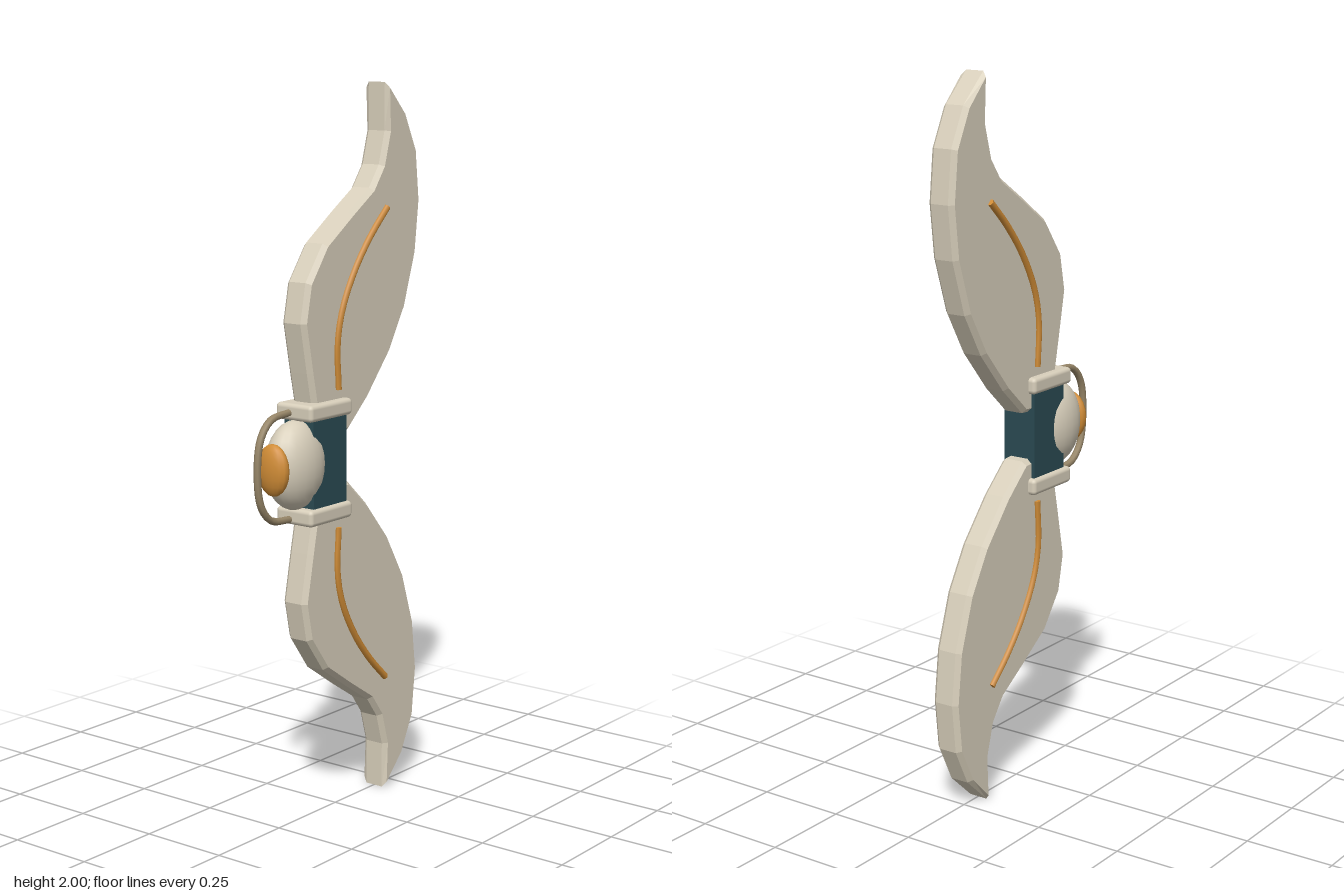
import * as THREE from 'three';
import { RoundedBoxGeometry } from 'three/addons/geometries/RoundedBoxGeometry.js';

const mat = (name, color) => new THREE.MeshStandardMaterial({ name, color });

export function createModel() {
  const cream = mat('cream', 0xd8cfbb);
  const amber = mat('amber', 0xd08c36);
  const teal = mat('dark teal', 0x2a4a52);
  const bronze = mat('dull bronze', 0x988769);

  const model = new THREE.Group();
  model.name = 'wingedEye';
  const add = (parent, name, geometry, material, x = 0, y = 0, z = 0) => {
    const mesh = new THREE.Mesh(geometry, material);
    mesh.name = name;
    mesh.position.set(x, y, z);
    parent.add(mesh);
    return mesh;
  };
  const tube = (points, radius, steps, sides) => {
    const curve = new THREE.CatmullRomCurve3(points.map(p => new THREE.Vector3(...p)));
    const path = new THREE.TubeGeometry(curve, steps, radius, sides);
    return path;
  };
  // Flat lids for the two ends of a tube
  const lids = (parent, name, points, radius, sides, material) => {
    const curve = new THREE.CatmullRomCurve3(points.map(p => new THREE.Vector3(...p)));
    for (const t of [0, 1]) {
      const lid = add(parent, name, new THREE.CircleGeometry(radius, sides), material, ...curve.getPoint(t));
      const out = curve.getTangent(t).multiplyScalar(t ? 1 : -1);
      lid.quaternion.setFromUnitVectors(new THREE.Vector3(0, 0, 1), out);
    }
  };

  // Blade outline as (z, height above the centre)
  const outline = [
    [-0.183, 1.0], [-0.183, 0.87], [-0.157, 0.78], [-0.113, 0.72], [-0.02, 0.66],
    [0.09, 0.585], [0.162, 0.487], [0.184, 0.38], [0.157, 0.245], [0.14, 0.165],
    [0.12, 0.09], [0.02, 0.066], [-0.012, 0.068], [-0.1, 0.147], [-0.2, 0.262],
    [-0.27, 0.38], [-0.32, 0.53], [-0.337, 0.675], [-0.322, 0.815], [-0.27, 0.92],
  ];
  const bladeShape = new THREE.Shape(outline.map(p => new THREE.Vector2(...p)));
  const bladeGeometry = new THREE.ExtrudeGeometry(bladeShape, {
    depth: 0.054, bevelThickness: 0.013, bevelSize: 0.012, bevelOffset: -0.012, bevelSegments: 1,
  });
  bladeGeometry.translate(0, 0, -0.027).rotateY(-Math.PI / 2);

  // Each half: blade, inlaid veins on both faces, and clamp
  const veinLine = [[0.04, 0.19], [0.045, 0.315], [0.024, 0.405], [-0.03, 0.505], [-0.1, 0.592], [-0.176, 0.665]];
  for (const side of ['upper', 'lower']) {
    const half = new THREE.Group();
    half.name = side + 'Half';
    half.position.y = 1;
    if (side === 'lower') half.rotation.z = Math.PI;
    add(half, 'blade', bladeGeometry, cream);
    for (const s of [-1, 1]) {
      const pts = veinLine.map(([z, y]) => [s * 0.042, y, z]);
      add(half, 'vein', tube(pts, 0.01, 16, 6), amber);
      lids(half, 'veinEnd', pts, 0.01, 6, amber);
    }
    add(half, 'clamp', new RoundedBoxGeometry(0.124, 0.046, 0.182, 2, 0.012), cream, 0, 0.142, 0.091);
    model.add(half);
  }

  // Grip core between the clamps
  add(model, 'core', new THREE.BoxGeometry(0.1, 0.25, 0.142), teal, 0, 1, 0.086);

  // Eyeball and iris
  add(model, 'eyeball', new THREE.SphereGeometry(1, 20, 14), cream, 0, 1, 0.175).scale.set(0.068, 0.122, 0.1);
  add(model, 'iris', new THREE.SphereGeometry(1, 16, 10), amber, 0, 1, 0.266).scale.set(0.051, 0.071, 0.027);

  // Curved guard in front of the eye
  const guard = [
    [0, 1.145, 0.2], [0, 1.135, 0.275], [0, 1.09, 0.317], [0, 1, 0.331],
    [0, 0.91, 0.317], [0, 0.865, 0.275], [0, 0.855, 0.2],
  ];
  add(model, 'guard', tube(guard, 0.01, 24, 8), bronze);
  lids(model, 'guardEnd', guard, 0.01, 8, bronze);

  return model;
}
